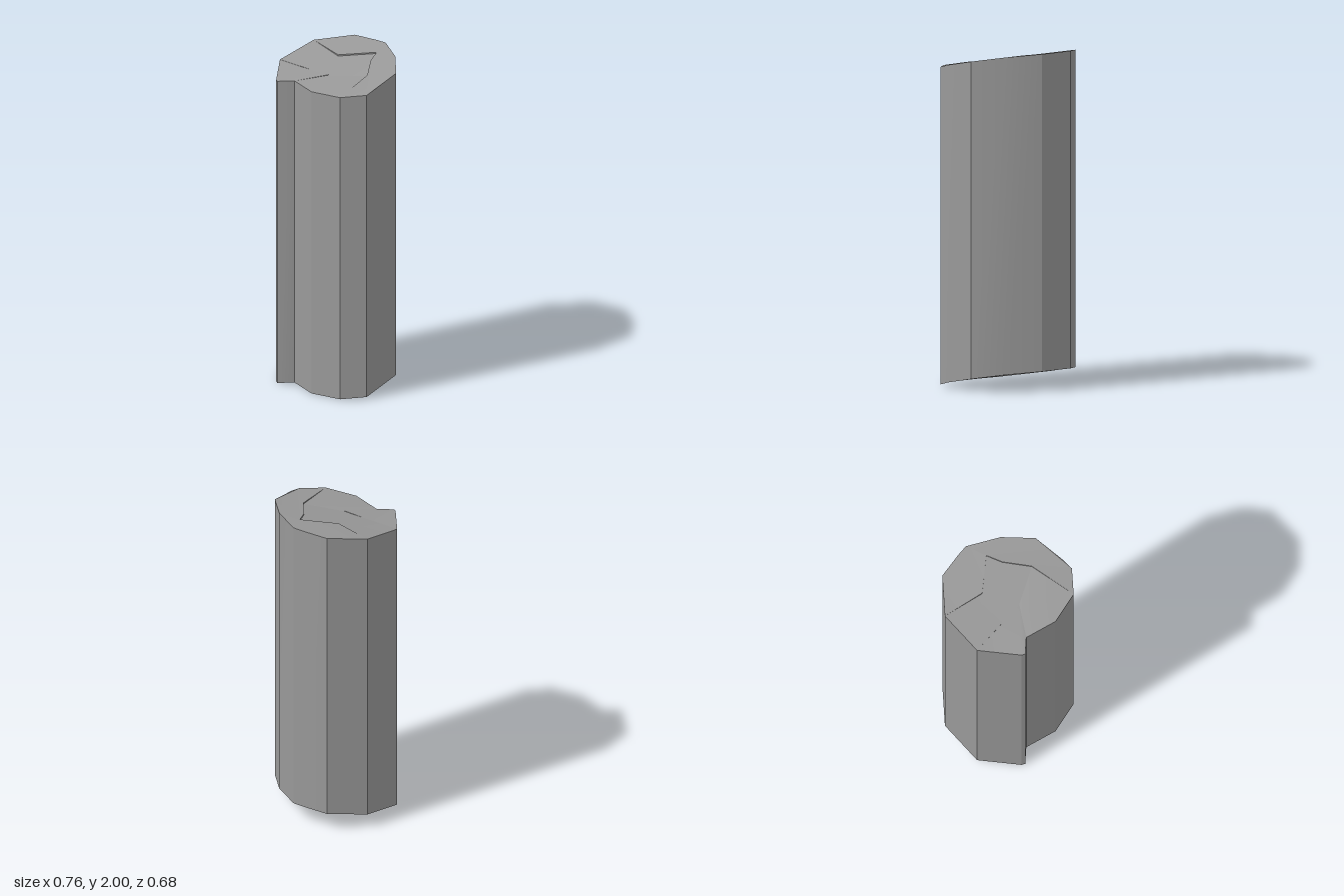
import * as THREE from 'three';
import { toCreasedNormals } from 'three/addons/utils/BufferGeometryUtils.js';

const LENGTH = 1.88;

// Corners of the split column in plan: [x, z]
const P = {
  a: [-0.36, -0.15], b: [-0.19, -0.322], c: [-0.03, -0.338], d: [0.038, -0.34],
  e: [0.22, -0.23], f: [0.36, -0.08], g: [0.377, 0.12], h: [0.377, 0.19],
  i: [0.267, 0.302], j: [0.07, 0.335], k: [-0.12, 0.275], l: [-0.2, 0.338],
  m: [-0.22, 0.326], n: [-0.38, 0.12],
  // inner corners along the cracks
  p: [-0.105, -0.085], q: [0.08, -0.217], r: [0.117, -0.125],
  s: [0.22, 0.015], t: [0, 0.113], u: [-0.2, 0.117],
};

// Both ends slope up towards the back
const slope = [[-0.34, 0.12], [-0.2, 0.1], [0.12, 0.034], [0.2, 0.012], [0.34, 0]];
function endHeight(z) {
  for (let i = 1; i < slope.length; i++) {
    const [z0, y0] = slope[i - 1], [z1, y1] = slope[i];
    if (z <= z1) return y0 + (y1 - y0) * (z - z0) / (z1 - z0);
  }
  return 0;
}

// Dark stone grey
const material = new THREE.MeshStandardMaterial({ color: 0x999999, side: THREE.DoubleSide });

// One hollow segment: upright walls and a sloping cap, open underneath.
// Inner corners (p to u) can sink a little to form steps along the cracks.
function segment(name, corners, sink) {
  const ids = [...corners];
  const plan = id => new THREE.Vector2(P[id][0], -P[id][1]);
  if (THREE.ShapeUtils.isClockWise(ids.map(plan))) ids.reverse();
  const low = ids.map(id => [P[id][0], endHeight(P[id][1]), P[id][1]]);
  const high = low.map(([x, y, z], i) => [x, y + LENGTH - (ids[i] >= 'p' ? sink : 0), z]);

  const pos = [];
  const tri = (...pts) => pts.forEach(v => pos.push(...v));
  low.forEach((v, i) => {
    const j = (i + 1) % low.length;
    tri(v, low[j], high[j]);
    tri(v, high[j], high[i]);
  });
  for (const f of THREE.ShapeUtils.triangulateShape(ids.map(plan), [])) {
    tri(...f.map(i => high[i]));
  }

  const geometry = new THREE.BufferGeometry();
  geometry.setAttribute('position', new THREE.Float32BufferAttribute(pos, 3));
  const mesh = new THREE.Mesh(toCreasedNormals(geometry, 0.35), material);
  mesh.name = name;
  return mesh;
}

export function createModel() {
  const group = new THREE.Group();
  group.name = 'splitColumn';
  group.add(
    segment('backSegment', 'abcdqp', 0),
    segment('leftSegment', 'defghisrq', 0),
    segment('frontSegment', 'ijkts', 0.008),
    segment('ridgeSegment', 'klmnut', 0.005),
    segment('middleSegment', 'nutsrqpa', 0.008),
  );
  return group;
}
